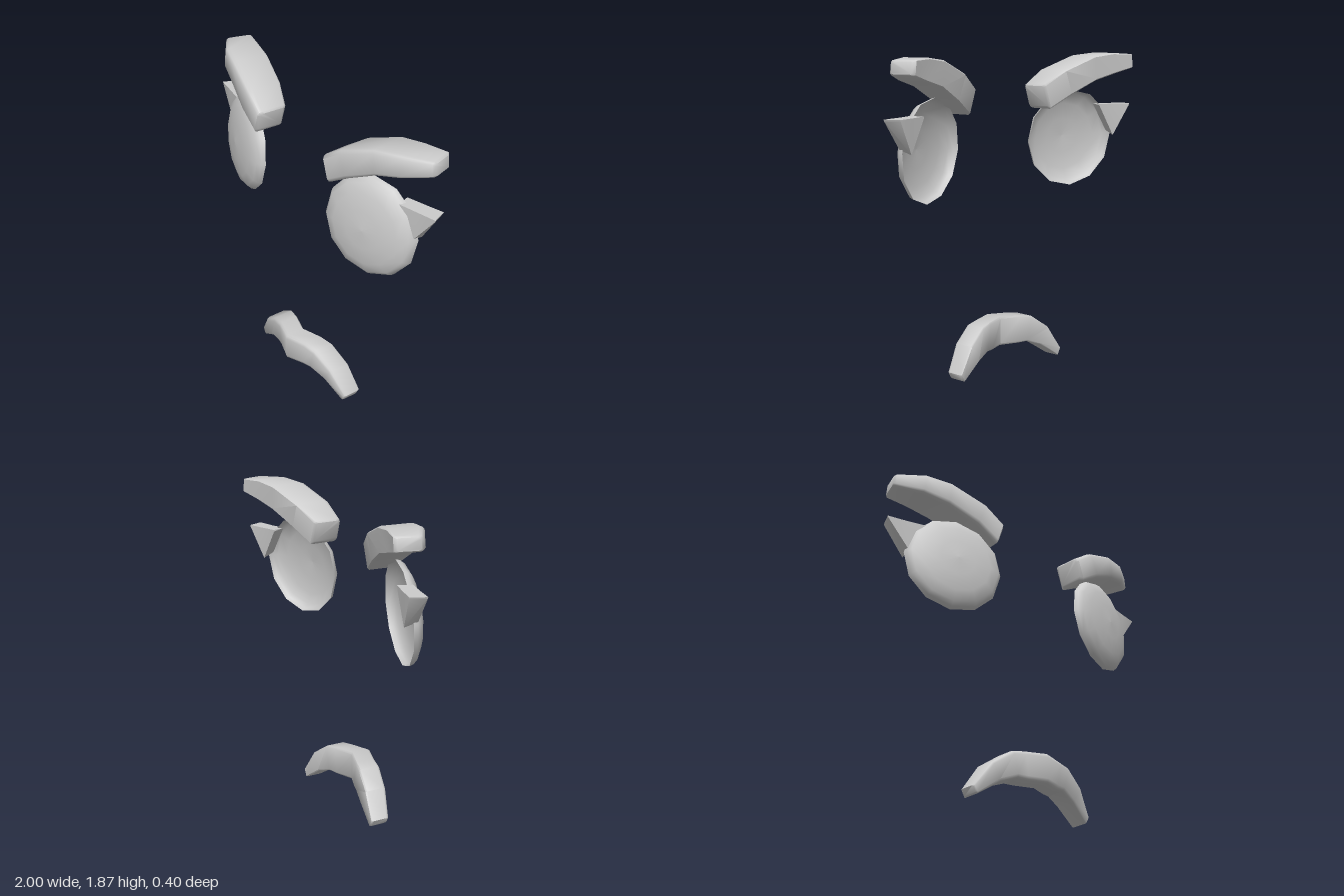
import * as THREE from 'three';
import { toCreasedNormals } from 'three/addons/utils/BufferGeometryUtils.js';

const material = new THREE.MeshStandardMaterial({ color: 0xcccccc, side: THREE.DoubleSide });

function mesh(name, geometry) {
  const m = new THREE.Mesh(geometry, material);
  m.name = name;
  return m;
}

// Skin closed rings running along +x, with a cap at each end
function loft(rings, crease) {
  const n = rings[0].length, index = [];
  for (let i = 0; i < rings.length - 1; i++) {
    for (let j = 0; j < n; j++) {
      const k = (j + 1) % n;
      const a = i * n + j, b = i * n + k, c = b + n, d = a + n;
      index.push(a, d, c, a, c, b);
    }
  }
  const last = (rings.length - 1) * n;
  for (let j = 1; j < n - 1; j++) {
    index.push(0, j, j + 1, last, last + j + 1, last + j);
  }
  const g = new THREE.BufferGeometry();
  g.setAttribute('position', new THREE.Float32BufferAttribute(rings.flat(2), 3));
  g.setIndex(index);
  return toCreasedNormals(g, crease);
}

// Cross-section as [height, depth] fractions: bevelled in front, square behind
const SECTION = [[0.06, 0], [0, 0.06], [0, 0.86], [0.04, 0.95], [0.14, 1],
  [0.86, 1], [0.96, 0.95], [1, 0.86], [1, 0.06], [0.94, 0]];

// Station: top x, top y, bottom x, bottom y, front z, back z, x shift at the back
function ring([tx, ty, bx, by, zf, zb, shift = 0], shrink = 1, dx = 0) {
  return SECTION.map(([h, d]) => {
    const u = 0.5 + (h - 0.5) * shrink, v = 0.5 + (d - 0.5) * shrink;
    return [bx + (tx - bx) * u + shift * (1 - v) + dx, by + (ty - by) * u, zb + (zf - zb) * v];
  });
}

// Bar through the stations with slightly rounded ends
function bar(stations, inset) {
  const rings = stations.map((s) => ring(s));
  rings.unshift(ring(stations[0], 0.84, -inset));
  rings.push(ring(stations[stations.length - 1], 0.8, inset));
  return loft(rings, 0.85);
}

function createSide() {
  const side = new THREE.Group();

  // Shallow open dome, turned outwards and leaning back
  const profile = [[0.3, 0], [0.292, 0.025], [0.27, 0.05], [0.21, 0.076], [0.11, 0.092], [0, 0.098]]
    .map(([r, y]) => new THREE.Vector2(r, y));
  const dome = new THREE.LatheGeometry(profile, 12);
  dome.rotateX(Math.PI / 2).rotateZ(0.05).rotateX(-0.07).rotateY(0.28);
  const eye = mesh('eye', dome);
  eye.position.set(0.588, 1.352, 0.03);
  side.add(eye);

  // Curved eyebrow sweeping up and back
  side.add(mesh('eyebrow', bar([
    [0.305, 1.695, 0.355, 1.545, 0.155, -0.03, -0.01],
    [0.43, 1.78, 0.49, 1.625, 0.145, -0.08, -0.01],
    [0.65, 1.86, 0.67, 1.71, 0.095, -0.135, -0.02],
    [0.80, 1.876, 0.82, 1.748, 0.045, -0.165, -0.03],
    [0.945, 1.868, 0.955, 1.783, -0.055, -0.205, -0.045],
  ], 0.012)));

  // Pointed lash: a triangular wedge at the outer corner
  side.add(mesh('eyelash', loft([
    [[0.74, 1.55, -0.08], [0.77, 1.56, 0], [0.77, 1.56, 0.001], [0.741, 1.56, -0.08]],
    [[0.85, 1.36, -0.10], [0.87, 1.385, -0.025], [0.88, 1.557, -0.025], [0.85, 1.557, -0.11]],
    [[0.958, 1.545, -0.14], [0.995, 1.545, -0.05], [1.0, 1.556, -0.05], [0.962, 1.556, -0.14]],
  ], 0.4)));
  return side;
}

export function createModel() {
  const model = new THREE.Group();
  model.name = 'face';

  // Left and right eye groups
  for (const s of [1, -1]) {
    const side = createSide();
    side.name = s > 0 ? 'leftEyeGroup' : 'rightEyeGroup';
    side.scale.x = s;
    model.add(side);
  }

  // Arched, down-turned mouth
  const half = [
    [0.13, 0.295, 0.11, 0.127, 0.155, 0.02],
    [0.21, 0.282, 0.17, 0.13, 0.142, 0],
    [0.335, 0.195, 0.27, 0.093, 0.112, -0.025],
    [0.43, 0.05, 0.405, 0.004, 0.075, -0.04],
  ];
  const mirrored = half.map(([tx, ty, bx, ...rest]) => [-tx, ty, -bx, ...rest]).reverse();
  model.add(mesh('mouth', bar([...mirrored, [0, 0.3, 0, 0.125, 0.197, 0.065], ...half], 0.006)));

  return model;
}
